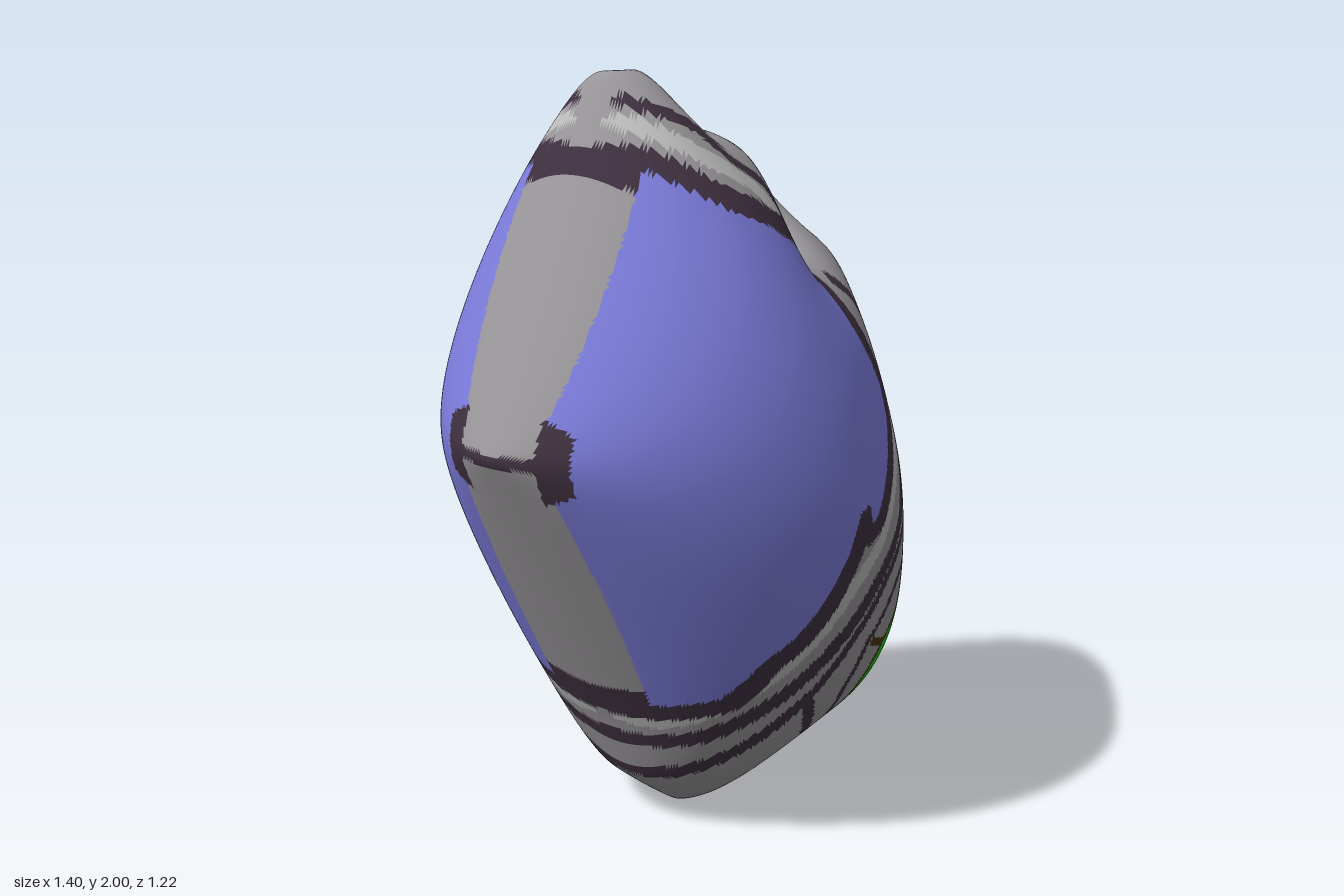
import * as THREE from 'three';

const RINGS = 88, SPOKES = 320, CX = 0, CY = 0.95, HALF_DEPTH = 0.61;

// Side silhouette, counter-clockwise, as x,y pairs
const OUTLINE = pts([0.61, 0.95, 0.61, 1.05, 0.63, 1.12, 0.62, 1.2, 0.615, 1.3, 0.585, 1.4, 0.53, 1.5, 0.47, 1.56, 0.38, 1.6,
  0.33, 1.68, 0.27, 1.75, 0.17, 1.81, 0.05, 1.85, -0.06, 1.86, -0.1, 1.91, -0.16, 2, -0.28, 2, -0.7, 1.12, -0.29, 0.33,
  -0.2, 0.14, -0.1, 0.06, -0.02, 0, 0.01, 0.01, 0.1, 0.08, 0.18, 0.16, 0.22, 0.16, 0.28, 0.135, 0.37, 0.125, 0.47, 0.14,
  0.58, 0.2, 0.66, 0.31, 0.695, 0.43, 0.7, 0.57, 0.67, 0.68, 0.62, 0.77, 0.58, 0.82, 0.6, 0.88]);
// Open slits at the brow and around the nostril
const SLITS = [
  [pts([0.26, 1.72, 0.19, 1.7, 0.17, 1.66, 0.22, 1.64, 0.21, 1.58, 0.16, 1.56]), 0.017],
  [pts([0.5, 1.32, 0.49, 1.24, 0.51, 1.18, 0.55, 1.135, 0.61, 1.125]), 0.02],
];
const PANEL = pts([-0.34, 1.78, -0.24, 1.7, -0.1, 1.64, 0, 1.59, 0.09, 1.53, 0.13, 1.4, 0.2, 1.23, 0.19, 1.14, 0.13, 1.03,
  0.06, 0.93, 0.03, 0.91, 0, 0.97, -0.03, 0.95, -0.05, 0.85, -0.1, 0.73, -0.15, 0.64, -0.2, 0.58, -0.24, 0.46,
  -0.31, 0.42, -0.68, 1.13]);
const PANEL_EDGE = PANEL.slice(0, -1);
const EYE = pts([0.58, 0.715, 0.65, 0.63, 0.667, 0.5, 0.63, 0.36, 0.56, 0.26, 0.44, 0.18, 0.3, 0.18, 0.23, 0.26, 0.25, 0.4,
  0.28, 0.5, 0.38, 0.62, 0.49, 0.69]);
// Painted lines: points and half width
const EYE_SPOKES = [[0.28, 0.5, 0.17, 0.54], [0.66, 0.55, 0.7, 0.57], [0.29, 0.19, 0.27, 0.13], [0.57, 0.7, 0.56, 0.79],
  [0.46, 0.19, 0.52, 0.13]].map(p => [pts(p), 0.012]);
const DARK_LINES = [
  [pts([-0.29, 1.93, -0.17, 1.87, -0.1, 1.79, 0, 1.73, 0.02, 1.66]), 0.016],
  [pts([0.23, 1.47, 0.29, 1.42, 0.32, 1.32, 0.39, 1.22, 0.46, 1.2]), 0.016],
  [pts([0.24, 1.22, 0.29, 1.21]), 0.02],
  [pts([0.29, 1.0, 0.25, 0.87, 0.1, 0.73, 0, 0.6, -0.1, 0.47, -0.22, 0.32, -0.27, 0.28]), 0.024],
  [pts([0.6, 0.88, 0.45, 0.9, 0.32, 0.85, 0.16, 0.73, 0.05, 0.58, -0.03, 0.43, 0.05, 0.31, 0.16, 0.19]), 0.016],
  [pts([0.57, 0.8, 0.42, 0.77, 0.25, 0.68, 0.14, 0.55, 0.12, 0.42, 0.16, 0.27, 0.2, 0.17]), 0.013],
  [pts([-0.03, 0.43, -0.13, 0.27, -0.2, 0.17]), 0.022],
  [pts([0.42, 1.08, 0.38, 1.0, 0.4, 0.9]), 0.014],
  [pts([0.56, 1.3, 0.6, 1.22]), 0.04],
];
const LIGHT_LINES = [
  [pts([-0.31, 1.88, -0.2, 1.8, -0.09, 1.74, -0.01, 1.66]), 0.022],
  [pts([0.27, 1.17, 0.22, 1.03, 0.1, 0.86, 0, 0.76, -0.1, 0.61, -0.2, 0.47, -0.28, 0.36]), 0.022],
  [pts([0.45, 0.83, 0.37, 0.81]), 0.025],
];

function pts(a) {
  return a.flatMap((v, i) => (i % 2 ? [] : [[v, a[i + 1]]]));
}

function lineDistance(path, x, y) {
  let best = Infinity;
  for (let i = 1; i < path.length; i++) {
    const [ax, ay] = path[i - 1], dx = path[i][0] - ax, dy = path[i][1] - ay;
    const t = Math.min(1, Math.max(0, ((x - ax) * dx + (y - ay) * dy) / (dx * dx + dy * dy)));
    best = Math.min(best, Math.hypot(x - ax - t * dx, y - ay - t * dy));
  }
  return best;
}

const onLines = (lines, x, y) => lines.some(([path, w]) => lineDistance(path, x, y) < w);

function inside(poly, x, y) {
  let hit = false;
  poly.forEach(([ax, ay], i) => {
    const [bx, by] = poly[(i + 1) % poly.length];
    if ((ay > y) !== (by > y) && x < ax + ((y - ay) / (by - ay)) * (bx - ax)) hit = !hit;
  });
  return hit;
}

// Distance from the centre to the silhouette in a direction
function reach(dx, dy) {
  let far = 0;
  OUTLINE.forEach(([ax, ay], i) => {
    const [bx, by] = OUTLINE[(i + 1) % OUTLINE.length];
    const ex = bx - ax, ey = by - ay, px = ax - CX, py = ay - CY, det = dx * ey - dy * ex;
    const r = (px * ey - py * ex) / det, s = (px * dy - py * dx) / det;
    if (s >= -1e-6 && s <= 1 + 1e-6 && r > far) far = r;
  });
  return far;
}

// Inflated half shell: depth is the root of a membrane pinned at the silhouette and slits
function buildHalf() {
  const xy = [[CX, CY]], u = [0.15], pinned = [false], tris = [];
  const id = (i, j) => (i === 0 ? 0 : 1 + (i - 1) * SPOKES + (j % SPOKES));
  const dirs = Array.from({ length: SPOKES }, (_, j) => {
    const a = (j / SPOKES) * Math.PI * 2, c = Math.cos(a), s = Math.sin(a), r = reach(c, s);
    return [c * r, s * r];
  });
  for (let i = 1; i <= RINGS; i++) {
    const t = Math.sin((i / RINGS) * Math.PI / 2);
    for (let j = 0; j < SPOKES; j++) {
      const x = CX + dirs[j][0] * t, y = CY + dirs[j][1] * t;
      const fixed = i === RINGS || onLines(SLITS, x, y);
      xy.push([x, y]);
      pinned.push(fixed);
      u.push(fixed ? 0 : 0.15 * (1 - t * t));
      tris.push([id(i - 1, j), id(i, j), id(i, j + 1)]);
      if (i > 1) tris.push([id(i - 1, j), id(i, j + 1), id(i - 1, j + 1)]);
    }
  }
  const links = xy.map(() => new Map()), load = xy.map(() => 0), diag = xy.map(() => 0);
  for (const tri of tris) for (let k = 0; k < 3; k++) {
    const a = tri[k], b = tri[(k + 1) % 3], c = tri[(k + 2) % 3];
    const ax = xy[a][0] - xy[c][0], ay = xy[a][1] - xy[c][1], bx = xy[b][0] - xy[c][0], by = xy[b][1] - xy[c][1];
    const cross = ax * by - ay * bx, w = (ax * bx + ay * by) / cross / 2;
    links[a].set(b, (links[a].get(b) || 0) + w);
    links[b].set(a, (links[b].get(a) || 0) + w);
    diag[a] += w;
    diag[b] += w;
    load[c] += cross / 6;
  }
  const near = links.map(m => [...m.keys()]), weight = links.map(m => [...m.values()]);
  for (let pass = 0; pass < 1500; pass++) for (let i = 0; i < u.length; i++) {
    if (pinned[i]) continue;
    let sum = load[i];
    const n = near[i], w = weight[i];
    for (let k = 0; k < n.length; k++) sum += w[k] * u[n[k]];
    u[i] += 1.9 * (sum / diag[i] - u[i]);
  }
  const top = u.reduce((m, v) => Math.max(m, v), 0);
  const positions = xy.flatMap(([x, y], i) => [x, y, HALF_DEPTH * Math.sqrt(Math.max(0, u[i]) / top)]);
  return { positions, tris };
}

// Which part a spot on the shell belongs to
function partAt(x, y, z) {
  const backEdge = x < -0.27 && y > 0.36 && y < 1.96;
  if (backEdge && z < 0.2 && x + Math.abs(y - 1.12) * 0.5 < -0.58) {
    return z < 0.12 && Math.abs(y - 1.12) > 0.015 ? 'backRim' : 'darkLines';
  }
  if (inside(EYE, x, y)) return lineDistance([...EYE, EYE[0]], x, y) < 0.008 ? 'eyeRing' : 'eye';
  if (lineDistance([...EYE, EYE[0]], x, y) < 0.02 || onLines(EYE_SPOKES, x, y)) return 'eyeRing';
  if (inside(PANEL, x, y)) return 'sidePanel';
  if (x > 0.45 && y < 0.8 && z < 0.07) return 'darkLines';
  if (x > 0.5 && y > 0.8 && y < 1.45 && z < 0.02) return 'darkLines';
  if (lineDistance(PANEL_EDGE, x, y) < 0.055 || onLines(DARK_LINES, x, y)) return 'darkLines';
  return onLines(LIGHT_LINES, x, y) ? 'lightBands' : 'skin';
}

export function createModel() {
  const paint = (name, color) => new THREE.MeshStandardMaterial({ name, color, side: THREE.DoubleSide });
  const grey = paint('grey', 0x9a979a), dark = paint('dark plum', 0x3f3140), light = paint('light grey', 0xbdbdbd);
  const materials = {
    skin: grey, backRim: grey, darkLines: dark, lightBands: light,
    sidePanel: paint('periwinkle', 0x7c7cdc), eye: paint('green', 0x0fd60f), eyeRing: paint('brown', 0x4a3512),
  };
  const { positions: p, tris } = buildHalf();

  // Sort the faces into parts, leaving the slits open
  const parts = {};
  for (const t of tris) {
    const [x, y, z] = [0, 1, 2].map(k => (p[t[0] * 3 + k] + p[t[1] * 3 + k] + p[t[2] * 3 + k]) / 3);
    if (!onLines(SLITS, x, y)) (parts[partAt(x, y, z)] ??= []).push(t);
  }

  const model = new THREE.Group();
  model.name = 'creatureHead';
  for (const [name, sign] of [['frontHalf', 1], ['backHalf', -1]]) {
    const half = new THREE.Group();
    half.name = name;
    const order = t => (sign > 0 ? t : [t[0], t[2], t[1]]);
    const shell = new THREE.BufferGeometry();
    shell.setAttribute('position', new THREE.Float32BufferAttribute(p.map((v, i) => (i % 3 === 2 ? v * sign : v)), 3));
    shell.setIndex(tris.flatMap(order));
    shell.computeVertexNormals();
    for (const [part, faces] of Object.entries(parts)) {
      const geometry = new THREE.BufferGeometry();
      geometry.setAttribute('position', shell.attributes.position);
      geometry.setAttribute('normal', shell.attributes.normal);
      geometry.setIndex(faces.flatMap(order));
      const mesh = new THREE.Mesh(geometry, materials[part]);
      mesh.name = part;
      half.add(mesh);
    }
    model.add(half);
  }
  return model;
}
